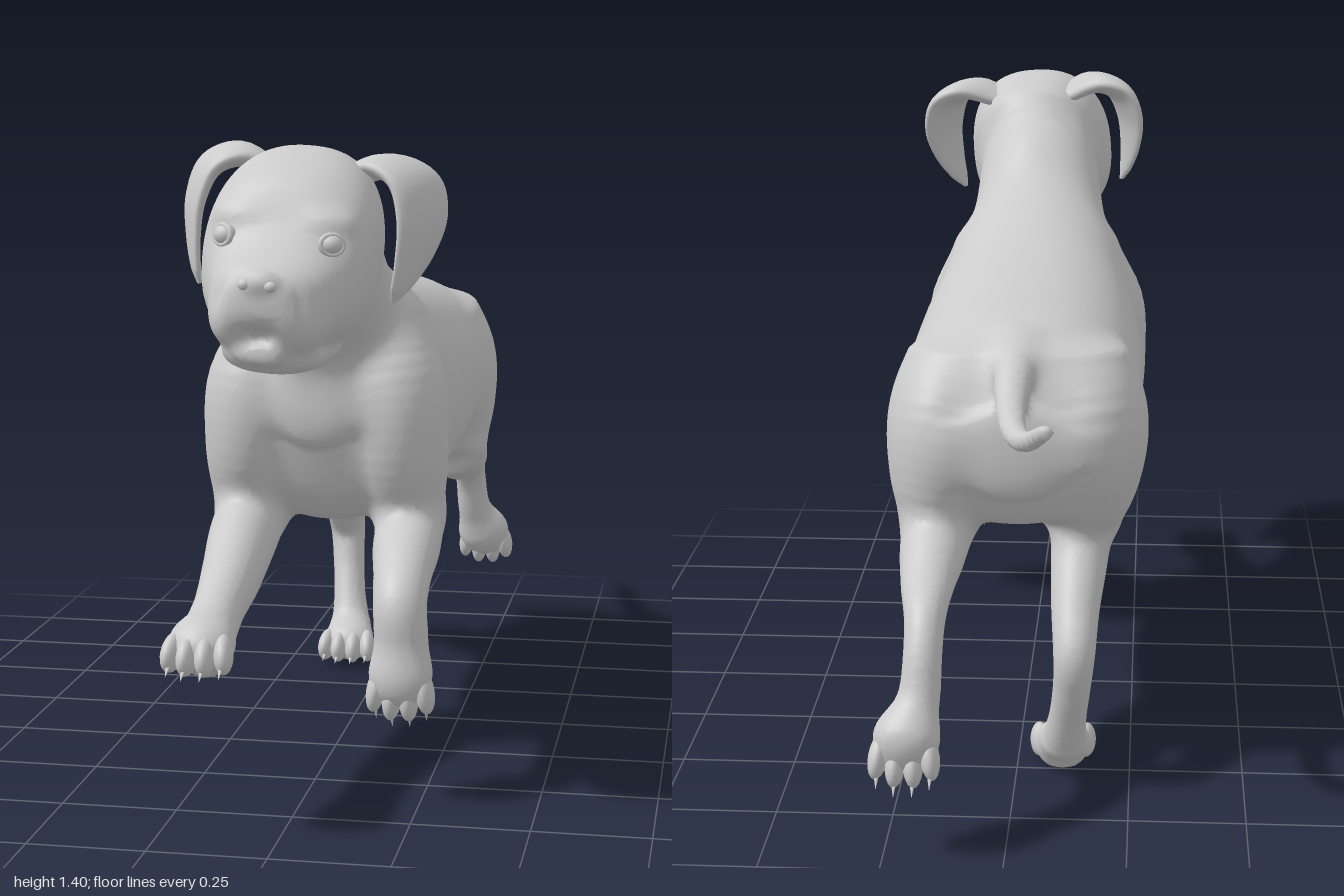
import * as THREE from 'three';

const skin = new THREE.MeshStandardMaterial({ color: 0xcccccc });
const X = new THREE.Vector3(1, 0, 0);
const Z = new THREE.Vector3(0, 0, 1);
const still = new THREE.Matrix4();

// Smooth path through sections [x, y, z, half width along side, half depth].
function sample(sections, steps) {
  const path = new THREE.CatmullRomCurve3(sections.map(s => new THREE.Vector3(s[0], s[1], s[2])));
  const size = new THREE.CatmullRomCurve3(
    sections.map(s => new THREE.Vector3(s[3], s[4], 0)), false, 'catmullrom', 0.5);
  const n = (sections.length - 1) * steps;
  return Array.from({ length: n + 1 }, (_, i) => {
    const r = size.getPoint(i / n);
    return { p: path.getPoint(i / n), t: path.getTangent(i / n), rx: Math.max(r.x, 0.004), ry: Math.max(r.y, 0.004) };
  });
}

// Distance from q to a tapered limb, measured at the nearest place on its axis.
const q = new THREE.Vector3(), diff = new THREE.Vector3(), best = new THREE.Vector3();
function limbDistance(pieces, side, upright, power, cap) {
  let nearest = Infinity, rx, ry, w;
  pieces.forEach(({ a, b, ab, dir, span }, i) => {
    const raw = diff.subVectors(q, a.p).dot(dir) / span;
    const t = Math.min(1, Math.max(0, raw));
    diff.addScaledVector(ab, -t);
    const along = diff.dot(dir);
    const key = upright ? along * along : diff.lengthSq();
    if (key >= nearest) return;
    nearest = key;
    best.copy(diff);
    rx = a.rx + (b.rx - a.rx) * t;
    ry = a.ry + (b.ry - a.ry) * t;
    w = (i === 0 && raw < 0) || (i === pieces.length - 1 && raw > 1) ? Math.abs(along) : 0;
  });
  const rz = cap || Math.min(rx, ry, 0.03);
  const across = Math.abs(best.dot(side));
  const u = across / rx, v = Math.sqrt(Math.max(0, best.lengthSq() - across * across - w * w)) / ry;
  w /= rz;
  const k = power === 2 ? Math.sqrt(u * u + v * v + w * w) : (u ** power + v ** power + w ** power) ** (1 / power);
  const g = Math.sqrt((u / rx) ** 2 + (v / ry) ** 2 + (w / rz) ** 2);
  return g < 1e-6 ? -Math.min(rx, ry, rz) : k * (k - 1) / g;
}

// Grid field into which flesh parts are blended; build() wraps it in one smooth skin.
function createFlesh(min, max, h) {
  const n = max.map((m, i) => Math.ceil((m - min[i]) / h) + 1);
  const stride = [1, n[0], n[0] * n[1]];
  const field = new Float32Array(n[0] * n[1] * n[2]).fill(1);

  // upright keeps the sections square to z instead of square to the path
  function flesh(sections, { blend = 0.04, power = 2, cap = 0, matrix = still, steps = 5, upright = false } = {}) {
    const rings = sample(sections, steps);
    rings.forEach(r => r.p.applyMatrix4(matrix));
    const side = X.clone().transformDirection(matrix), ahead = Z.clone().transformDirection(matrix);
    const pieces = rings.slice(1).map((b, i) => {
      const a = rings[i], ab = b.p.clone().sub(a.p);
      const dir = upright ? ahead : ab.clone().normalize();
      return { a, b, ab, dir, span: ab.dot(dir) };
    });
    const reach = Math.max(cap, ...rings.map(r => Math.max(r.rx, r.ry))) + 0.07;
    const box = new THREE.Box3().setFromPoints(rings.map(r => r.p)).expandByScalar(reach);
    const lo = box.min.toArray().map((c, i) => Math.max(0, Math.floor((c - min[i]) / h)));
    const hi = box.max.toArray().map((c, i) => Math.min(n[i] - 1, Math.ceil((c - min[i]) / h)));
    for (let z = lo[2]; z <= hi[2]; z++) for (let y = lo[1]; y <= hi[1]; y++) for (let x = lo[0]; x <= hi[0]; x++) {
      q.set(min[0] + x * h, min[1] + y * h, min[2] + z * h);
      const d = limbDistance(pieces, side, upright, power, cap);
      const i = x + y * stride[1] + z * stride[2], f = field[i];
      const m = Math.max(blend - Math.abs(f - d), 0) / blend;
      field[i] = Math.min(f, d) - m * m * blend / 4;
    }
  }

  function build() {
    const pos = [], index = [], cell = new Int32Array(field.length);
    for (let z = 0; z < n[2] - 1; z++) for (let y = 0; y < n[1] - 1; y++) for (let x = 0; x < n[0] - 1; x++) {
      const c = [x, y, z], i = x + y * stride[1] + z * stride[2];
      const at = k => field[i + (k & 1) + (k >> 1 & 1) * stride[1] + (k >> 2) * stride[2]];
      // one vertex per crossed cell, at the mean of its edge crossings
      const sum = [0, 0, 0];
      let count = 0;
      for (let k = 0; k < 8; k++) for (let e = 0; e < 3; e++) {
        if (k >> e & 1) continue;
        const f0 = at(k), f1 = at(k | 1 << e);
        if ((f0 < 0) === (f1 < 0)) continue;
        for (let m = 0; m < 3; m++) sum[m] += m === e ? f0 / (f0 - f1) : k >> m & 1;
        count++;
      }
      if (!count) continue;
      cell[i] = pos.length / 3;
      for (let m = 0; m < 3; m++) pos.push(min[m] + (c[m] + sum[m] / count) * h);
      // one quad around each crossed grid edge
      for (let e = 0; e < 3; e++) {
        const u = (e + 1) % 3, v = (e + 2) % 3, inside = field[i] < 0;
        if (!c[u] || !c[v] || inside === field[i + stride[e]] < 0) continue;
        const [A, B, C, D] = [i, i - stride[u], i - stride[u] - stride[v], i - stride[v]].map(k => cell[k]);
        index.push(...(inside ? [A, B, C, A, C, D] : [A, C, B, A, D, C]));
      }
    }
    return smooth(pos, index);
  }

  // ellipsoid of flesh
  const lump = ([x, y, z], [rx, ry, rz], blend, matrix) => flesh(
    [[x, y, z - 0.001, rx, ry], [x, y, z + 0.001, rx, ry]], { blend, cap: rz, matrix, steps: 1 });
  return { flesh, lump, build };
}

function smooth(pos, index) {
  const g = new THREE.BufferGeometry();
  g.setAttribute('position', new THREE.Float32BufferAttribute(pos, 3));
  g.setIndex(index);
  g.computeVertexNormals();
  return g;
}

// Thin shell over sections, for the ears.
function shell(sections, side, sides = 28) {
  const rings = sample(sections, 6), pos = [], index = [];
  rings.forEach(({ p, t, rx, ry }, i) => {
    const depth = t.clone().cross(side).normalize();
    for (let j = 0; j < sides; j++) {
      const a = j / sides * Math.PI * 2;
      pos.push(...p.clone().addScaledVector(side, Math.cos(a) * rx).addScaledVector(depth, Math.sin(a) * ry));
      if (i === rings.length - 1) continue;
      const k = (j + 1) % sides, A = i * sides, B = A + sides;
      index.push(A + j, A + k, B + j, A + k, B + k, B + j);
    }
  });
  return smooth(pos, index);
}

function add(parent, name, geometry, position = [0, 0, 0], rotation = [0, 0, 0], scale = [1, 1, 1]) {
  const mesh = new THREE.Mesh(geometry, skin);
  mesh.name = name;
  mesh.position.set(...position);
  mesh.rotation.set(...rotation);
  mesh.scale.set(...scale);
  parent.add(mesh);
}
const ball = new THREE.SphereGeometry(1, 20, 14);

// Sections given as [z, top, bottom, half width], stacked along z.
const profile = rows => rows.map(([z, top, bottom, w]) => [0, (top + bottom) / 2, z, w, (top - bottom) / 2]);

// Paw with toes pointing along +z, pitched down by the given angle.
function paw(dog, body, name, position, pitch) {
  const g = new THREE.Group();
  g.name = name;
  g.position.set(...position);
  g.rotation.x = pitch;
  g.updateMatrix();
  body.lump([0, 0.004, 0.015], [0.064, 0.05, 0.062], 0.04, g.matrix);
  body.lump([0, -0.026, 0.005], [0.044, 0.022, 0.034], 0.015, g.matrix);
  [-0.052, -0.018, 0.018, 0.052].forEach((x, i) => {
    const reach = i % 3 ? 0.06 : 0.044;
    add(g, 'toe', ball, [x, -0.004, reach], [0.3, x * 3, 0], [0.0205, 0.038, 0.048]);
    add(g, 'claw', new THREE.ConeGeometry(0.007, 0.038, 8), [x * 1.04, -0.026, reach + 0.045], [Math.PI / 2 + 0.5, 0, 0]);
  });
  dog.add(g);
}

function head(dog, body) {
  const g = new THREE.Group();
  g.name = 'headDetails';
  g.rotation.set(0, -0.07, -0.07);
  g.position.set(0.01, 1.15, 0.65).sub(new THREE.Vector3(0, 1.15, 0.65).applyEuler(g.rotation));
  g.updateMatrix();
  const matrix = g.matrix;

  body.flesh(profile([
    [0.53, 1.32, 1.1, 0.07], [0.56, 1.36, 1.06, 0.12], [0.64, 1.395, 1.01, 0.163],
    [0.74, 1.385, 0.99, 0.177], [0.82, 1.33, 0.99, 0.166], [0.87, 1.24, 1.01, 0.138],
    [0.92, 1.192, 1.035, 0.112], [0.945, 1.18, 1.045, 0.096], [0.96, 1.165, 1.06, 0.075]]),
  { power: 2.4, matrix, upright: true });
  body.flesh(profile([
    [0.68, 1.05, 0.99, 0.07], [0.74, 1.05, 0.972, 0.115], [0.84, 1.04, 0.957, 0.108],
    [0.91, 1.035, 0.964, 0.082], [0.935, 1.03, 0.98, 0.055]]), { power: 2.3, blend: 0.012, matrix, upright: true });
  body.lump([0, 1.148, 0.975], [0.042, 0.026, 0.023], 0.01, matrix);
  for (const s of [-1, 1]) {
    body.lump([s * 0.06, 1.07, 0.895], [0.056, 0.064, 0.078], 0.025, matrix);
    body.lump([s * 0.085, 1.258, 0.822], [0.052, 0.026, 0.032], 0.03, matrix);
    add(g, 'nostril', ball, [s * 0.026, 1.144, 0.989], [0, 0, 0], [0.013, 0.011, 0.01]);
    add(g, 'eye', ball, [s * 0.107, 1.222, 0.858], [0, 0, 0], [0.025, 0.022, 0.025]);
    add(g, 'eyelid', new THREE.TorusGeometry(0.023, 0.006, 10, 24), [s * 0.111, 1.222, 0.867], [-0.1, s * 0.55, 0], [1, 0.85, 1]);
    // ear folded out from the crown, hanging beside the cheek
    add(g, s > 0 ? 'leftEar' : 'rightEar', shell([
      [s * 0.08, 1.335, 0.62, 0.05, 0.02], [s * 0.155, 1.365, 0.622, 0.08, 0.026],
      [s * 0.215, 1.34, 0.635, 0.088, 0.025], [s * 0.24, 1.27, 0.65, 0.085, 0.02],
      [s * 0.234, 1.19, 0.672, 0.064, 0.014], [s * 0.217, 1.13, 0.695, 0.034, 0.01],
      [s * 0.204, 1.1, 0.705, 0.006, 0.005]], new THREE.Vector3(-0.4 * s, 0, 0.92).normalize()));
  }
  dog.add(g);
}

export function createModel() {
  const dog = new THREE.Group();
  dog.name = 'runningDog';
  const body = createFlesh([-0.33, -0.03, -1.04], [0.33, 1.45, 1.04], 0.0105);

  // torso, neck and tail
  body.flesh(profile([
    [-0.625, 0.88, 0.67, 0.12], [-0.57, 0.97, 0.6, 0.21], [-0.45, 1.025, 0.57, 0.258],
    [-0.25, 1.045, 0.545, 0.265], [0, 1.075, 0.52, 0.262], [0.2, 1.095, 0.53, 0.245],
    [0.35, 1.09, 0.56, 0.22], [0.43, 1.03, 0.63, 0.175], [0.475, 0.92, 0.74, 0.09]]), { power: 2.2, upright: true });
  body.flesh([
    [0, 0.84, 0.12, 0.17, 0.18], [0, 0.965, 0.29, 0.195, 0.18], [0, 1.065, 0.43, 0.162, 0.155],
    [0.005, 1.16, 0.55, 0.146, 0.155], [0.01, 1.22, 0.63, 0.13, 0.13]], { blend: 0.06 });
  body.flesh([
    [0, 0.97, -0.5, 0.05, 0.04], [0, 0.94, -0.6, 0.042, 0.036], [0, 0.89, -0.7, 0.031, 0.028],
    [-0.015, 0.868, -0.8, 0.026, 0.023], [-0.045, 0.88, -0.89, 0.023, 0.02],
    [-0.083, 0.918, -0.95, 0.018, 0.015]]);
  body.lump([0, 0.555, -0.27], [0.032, 0.03, 0.06], 0.03, still);

  // shoulders
  for (const s of [-1, 1]) body.flesh([
    [s * 0.12, 0.99, 0.33, 0.065, 0.09], [s * 0.152, 0.87, 0.355, 0.108, 0.136],
    [s * 0.165, 0.74, 0.357, 0.105, 0.136], [s * 0.175, 0.63, 0.325, 0.088, 0.115],
    [s * 0.18, 0.55, 0.29, 0.06, 0.075]], { blend: 0.05 });

  // forelegs
  body.flesh([
    [0.182, 0.565, 0.27, 0.07, 0.075], [0.19, 0.52, 0.42, 0.074, 0.078],
    [0.2, 0.48, 0.55, 0.062, 0.064], [0.205, 0.43, 0.612, 0.057, 0.062],
    [0.21, 0.36, 0.622, 0.057, 0.056], [0.21, 0.3, 0.62, 0.053, 0.05]]);
  body.flesh([
    [-0.175, 0.565, 0.27, 0.07, 0.08], [-0.17, 0.535, 0.43, 0.075, 0.088],
    [-0.165, 0.472, 0.59, 0.064, 0.074], [-0.16, 0.437, 0.72, 0.054, 0.06],
    [-0.155, 0.415, 0.82, 0.055, 0.058], [-0.155, 0.405, 0.88, 0.052, 0.05]]);
  body.lump([-0.155, 0.362, 0.845], [0.044, 0.036, 0.05], 0.025, still);
  body.lump([0.21, 0.295, 0.58], [0.042, 0.045, 0.036], 0.025, still);

  // hind legs: thigh, then shank
  body.flesh([
    [0.135, 0.92, -0.44, 0.1, 0.125], [0.157, 0.8, -0.475, 0.119, 0.166],
    [0.166, 0.68, -0.485, 0.108, 0.152], [0.17, 0.58, -0.47, 0.08, 0.11]], { blend: 0.05 });
  body.flesh([
    [0.17, 0.585, -0.45, 0.07, 0.08], [0.172, 0.55, -0.59, 0.072, 0.081],
    [0.174, 0.507, -0.72, 0.055, 0.053], [0.17, 0.475, -0.812, 0.043, 0.05],
    [0.17, 0.42, -0.86, 0.04, 0.047], [0.175, 0.34, -0.89, 0.043, 0.047],
    [0.192, 0.27, -0.925, 0.053, 0.052]]);
  body.flesh([
    [-0.135, 0.92, -0.44, 0.1, 0.125], [-0.157, 0.8, -0.47, 0.119, 0.168],
    [-0.16, 0.68, -0.445, 0.105, 0.145], [-0.147, 0.58, -0.415, 0.078, 0.105]], { blend: 0.05 });
  body.flesh([
    [-0.14, 0.58, -0.4, 0.068, 0.08], [-0.135, 0.49, -0.485, 0.062, 0.072],
    [-0.13, 0.405, -0.57, 0.052, 0.058], [-0.13, 0.325, -0.628, 0.045, 0.053],
    [-0.125, 0.25, -0.612, 0.041, 0.048], [-0.115, 0.16, -0.57, 0.041, 0.045],
    [-0.105, 0.085, -0.53, 0.05, 0.046]]);

  paw(dog, body, 'leftFrontPaw', [0.21, 0.295, 0.628], 1.35);
  paw(dog, body, 'rightFrontPaw', [-0.155, 0.405, 0.88], 0.12);
  paw(dog, body, 'leftHindPaw', [0.202, 0.27, -0.932], 1.75);
  paw(dog, body, 'rightHindPaw', [-0.1, 0.052, -0.49], 0);
  head(dog, body);
  add(dog, 'body', body.build());
  return dog;
}
